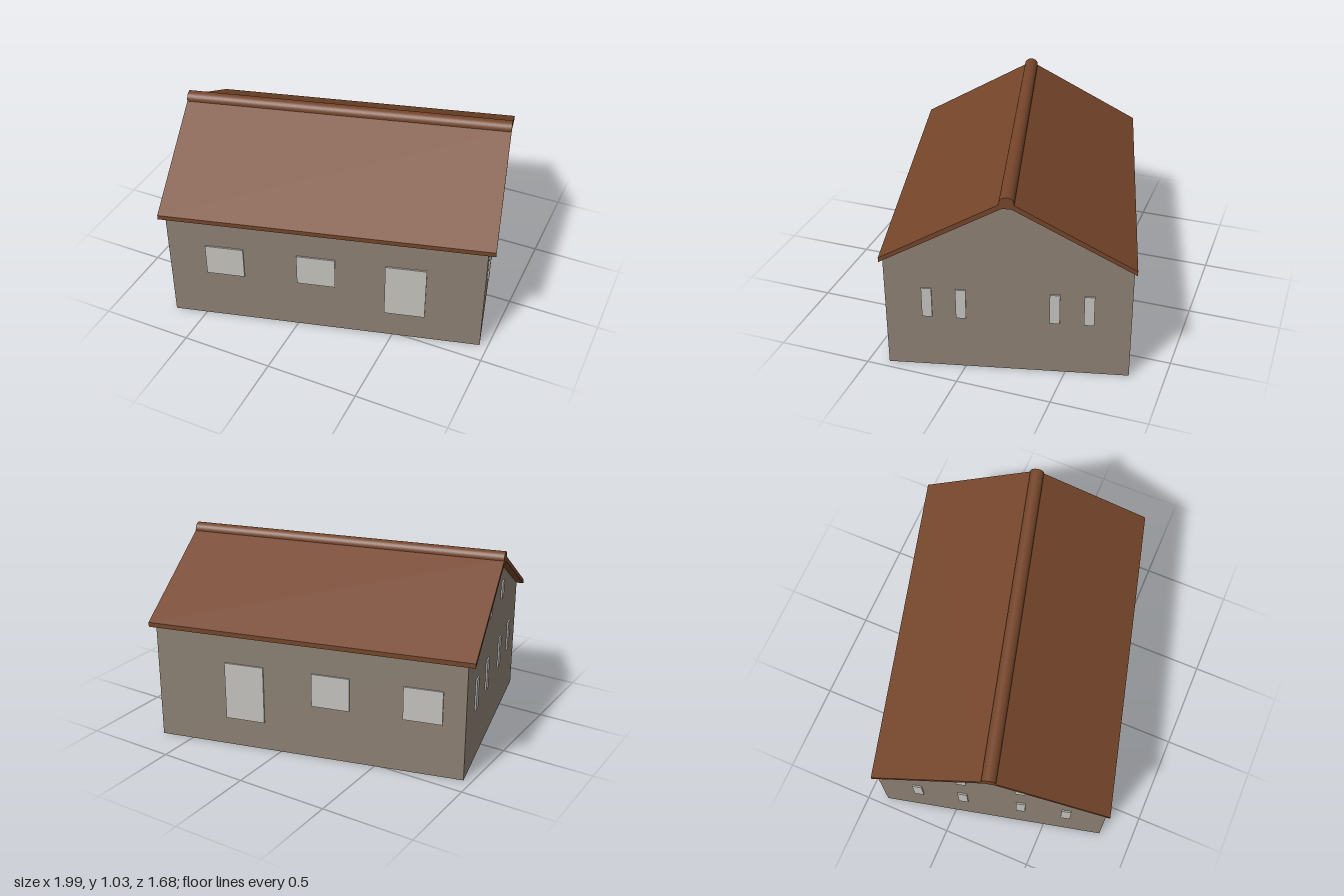
import * as THREE from 'three';

const LENGTH = 1.682, WIDTH = 1.246;          // wall footprint
const ROOF_LENGTH = 1.757, ROOF_WIDTH = 1.272;
const EAVE = 0.64, PEAK = 0.968;

// The plan is turned and slightly skewed: local x runs along the ridge, local z across it
const plan = new THREE.Matrix4().makeBasis(
  new THREE.Vector3(0.9675, 0, -0.2527),
  new THREE.Vector3(0, 1, 0),
  new THREE.Vector3(0.231, 0, 0.973));

export function createModel() {
  const house = new THREE.Group();
  house.name = 'house';

  const wall = new THREE.MeshStandardMaterial({ color: 0x8c8073, side: THREE.DoubleSide });
  wall.name = 'wall plaster';
  const glass = new THREE.MeshStandardMaterial({ color: 0xc4c2bd });
  glass.name = 'pale glass';
  const tile = new THREE.MeshStandardMaterial({ color: 0x75452a });
  tile.name = 'brown roof';

  const add = (name, geometry, material) => {
    const mesh = new THREE.Mesh(geometry.applyMatrix4(plan), material);
    mesh.name = name;
    house.add(mesh);
  };

  // Profile in (across, up), extruded along the ridge
  const alongRidge = (shape, length) =>
    new THREE.ExtrudeGeometry(shape, { depth: length, bevelEnabled: false })
      .translate(0, 0, -length / 2).rotateY(Math.PI / 2);
  const outline = (points) => new THREE.Shape(points.map(([x, y]) => new THREE.Vector2(x, y)));

  // Walls: open below, with the roof space visible inside
  const w = WIDTH / 2;
  const gable = outline([[-w, 0], [w, 0], [w, EAVE], [0.022, PEAK], [-0.022, PEAK], [-w, EAVE]]);
  const sides = {
    front: { turn: 0, out: w },
    back: { turn: Math.PI, out: w },
    left: { turn: Math.PI / 2, out: LENGTH / 2 },
    right: { turn: -Math.PI / 2, out: LENGTH / 2 },
  };
  for (const [name, { turn, out }] of Object.entries(sides)) {
    const long = name === 'front' || name === 'back';
    const panel = long
      ? new THREE.PlaneGeometry(LENGTH, EAVE).translate(0, EAVE / 2, 0)
      : new THREE.ShapeGeometry(gable);
    add(name + 'Wall', panel.translate(0, 0, out).rotateY(turn), wall);
  }

  // Openings: a thin pane outside, a shallow wall-coloured niche inside
  const opening = (name, side, across, width, bottom, top) => {
    const { turn, out } = sides[side];
    const slab = (from, to) => new THREE.BoxGeometry(width, top - bottom, to - from)
      .translate(across, (top + bottom) / 2, out + (from + to) / 2).rotateY(turn);
    add(side + name, slab(0.001, 0.009), glass);
    add(side + name + 'Niche', slab(-0.014, -0.001), wall);
  };
  for (const x of [-0.536, -0.045]) opening('Window', 'front', x, 0.205, 0.3, 0.483);
  opening('Door', 'front', 0.43, 0.216, 0.16, 0.48);
  for (const x of [0.131, 0.62]) opening('Window', 'back', x, 0.205, 0.3, 0.483);
  opening('Door', 'back', -0.346, 0.216, 0.16, 0.48);
  for (const s of [-1, 1]) {
    for (const x of [0.237, 0.41]) opening('Window', 'left', s * x, 0.052, 0.305, 0.475);
    for (const x of [0.16, 0.41]) opening('Window', 'right', s * x, 0.052, 0.305, 0.48);
    opening('AtticWindow', 'right', s * 0.155, 0.052, 0.715, 0.81);
  }

  // Roof: one bent slab with vertical eaves
  const r = ROOF_WIDTH / 2;
  add('roof', alongRidge(outline([
    [-r, 0.635], [-0.023, 0.97], [0.023, 0.97], [r, 0.635],
    [r, 0.66], [0.03, 0.995], [-0.03, 0.995], [-r, 0.66],
  ]), ROOF_LENGTH), tile);

  // Rounded ridge cap
  const cap = new THREE.Shape();
  cap.moveTo(-0.038, 0.98);
  cap.lineTo(0.038, 0.98);
  cap.lineTo(0.038, 0.995);
  cap.absellipse(0, 0.995, 0.038, 0.036, 0, Math.PI, false, 0);
  cap.lineTo(-0.038, 0.98);
  add('ridgeCap', alongRidge(cap, ROOF_LENGTH), tile);

  return house;
}
